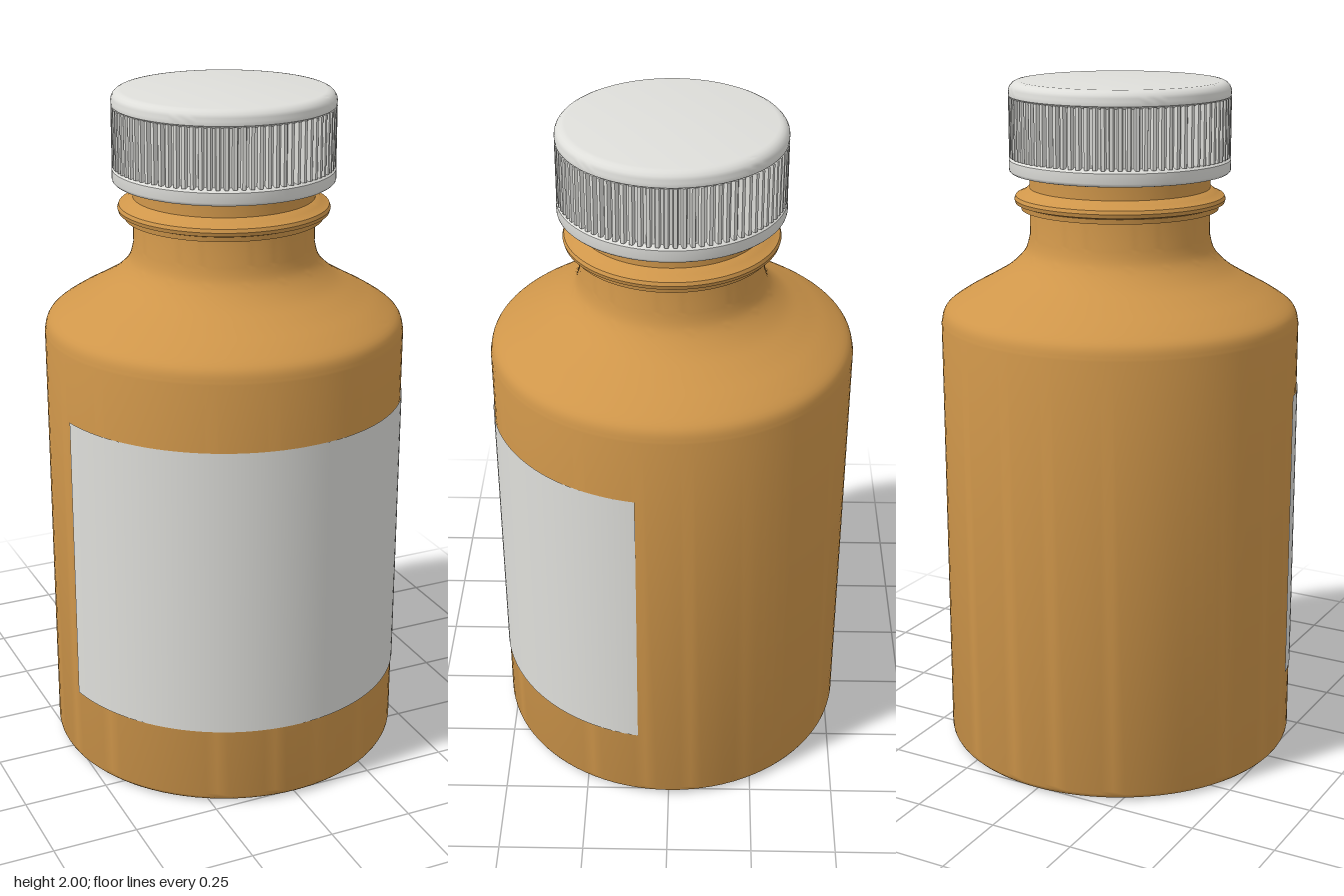
import * as THREE from 'three';
import { toCreasedNormals } from 'three/addons/utils/BufferGeometryUtils.js';

const SEGMENTS = 96;
const v = (x, y) => new THREE.Vector2(x, y);

// Quarter-round corner points about a centre
function corner(cx, cy, r, from, to, n = 5) {
  return Array.from({ length: n + 1 }, (_, i) => {
    const a = from + ((to - from) * i) / n;
    return v(cx + r * Math.cos(a), cy + r * Math.sin(a));
  });
}

// Revolved part: smooth curves, sharp steps
function turned(name, points, material) {
  const geometry = toCreasedNormals(new THREE.LatheGeometry(points, SEGMENTS), 0.6);
  const mesh = new THREE.Mesh(geometry, material);
  mesh.name = name;
  return mesh;
}

export function createModel() {
  const amber = new THREE.MeshStandardMaterial({ color: 0xcf964a });
  amber.name = 'amber';
  const white = new THREE.MeshStandardMaterial({ color: 0xdededa });
  white.name = 'white';
  const paper = new THREE.MeshStandardMaterial({ color: 0xdededa, side: THREE.DoubleSide });
  paper.name = 'label paper';

  const model = new THREE.Group();
  model.name = 'bottle';

  // Body, curved shoulder and neck
  const shoulder = new THREE.SplineCurve([
    v(0.525, 1.305), v(0.512, 1.345), v(0.46, 1.383), v(0.39, 1.422),
    v(0.325, 1.462), v(0.278, 1.51), v(0.262, 1.56),
  ]).getPoints(30);
  model.add(turned('body', [
    v(0, 0),
    ...corner(0.495, 0.03, 0.03, -Math.PI / 2, 0),
    ...shoulder,
    v(0.262, 1.735), v(0.24, 1.742), v(0.24, 1.92), v(0, 1.92),
  ], amber));

  // Collar ring around the neck
  model.add(turned('neckCollar', [
    v(0.255, 1.632), v(0.286, 1.634), v(0.288, 1.648), v(0.303, 1.653),
    v(0.306, 1.664), v(0.302, 1.674), v(0.28, 1.684), v(0.268, 1.694), v(0.255, 1.697),
  ], amber));

  // Label wrapped around the front
  const half = THREE.MathUtils.degToRad(80);
  const label = new THREE.Mesh(
    new THREE.CylinderGeometry(0.528, 0.528, 0.87, 72, 1, true, -half, half * 2), paper);
  label.name = 'label';
  label.position.y = 0.675;
  model.add(label);

  // Hollow cap shell with a recess for the ribs
  const cap = new THREE.Group();
  cap.name = 'cap';
  cap.add(turned('capShell', [
    v(0, 1.95), v(0.28, 1.95), v(0.28, 1.74), v(0.31, 1.74),
    ...corner(0.31, 1.75, 0.01, -Math.PI / 2, 0, 3),
    v(0.32, 1.778), v(0.306, 1.79), v(0.306, 1.95), v(0.318, 1.958),
    ...corner(0.289, 1.97, 0.03, 0, Math.PI / 2),
    v(0, 2),
  ], white));

  // Vertical grip ribs
  const ribs = 84;
  const outline = new THREE.Shape();
  for (let i = 0; i < ribs; i++) {
    [[0, 0.306], [0.3, 0.306], [0.45, 0.319], [0.85, 0.319]].forEach(([t, r], k) => {
      const a = ((i + t) / ribs) * Math.PI * 2;
      outline[i + k ? 'lineTo' : 'moveTo'](r * Math.cos(a), r * Math.sin(a));
    });
  }
  outline.closePath();
  outline.holes.push(new THREE.Path().absarc(0, 0, 0.295, 0, Math.PI * 2, true));
  const ribGeometry = new THREE.ExtrudeGeometry(outline, {
    depth: 0.17, bevelEnabled: false, curveSegments: 48,
  });
  ribGeometry.rotateX(-Math.PI / 2);
  const grip = new THREE.Mesh(ribGeometry, white);
  grip.name = 'capRibs';
  grip.position.y = 1.785;
  cap.add(grip);
  model.add(cap);

  return model;
}
